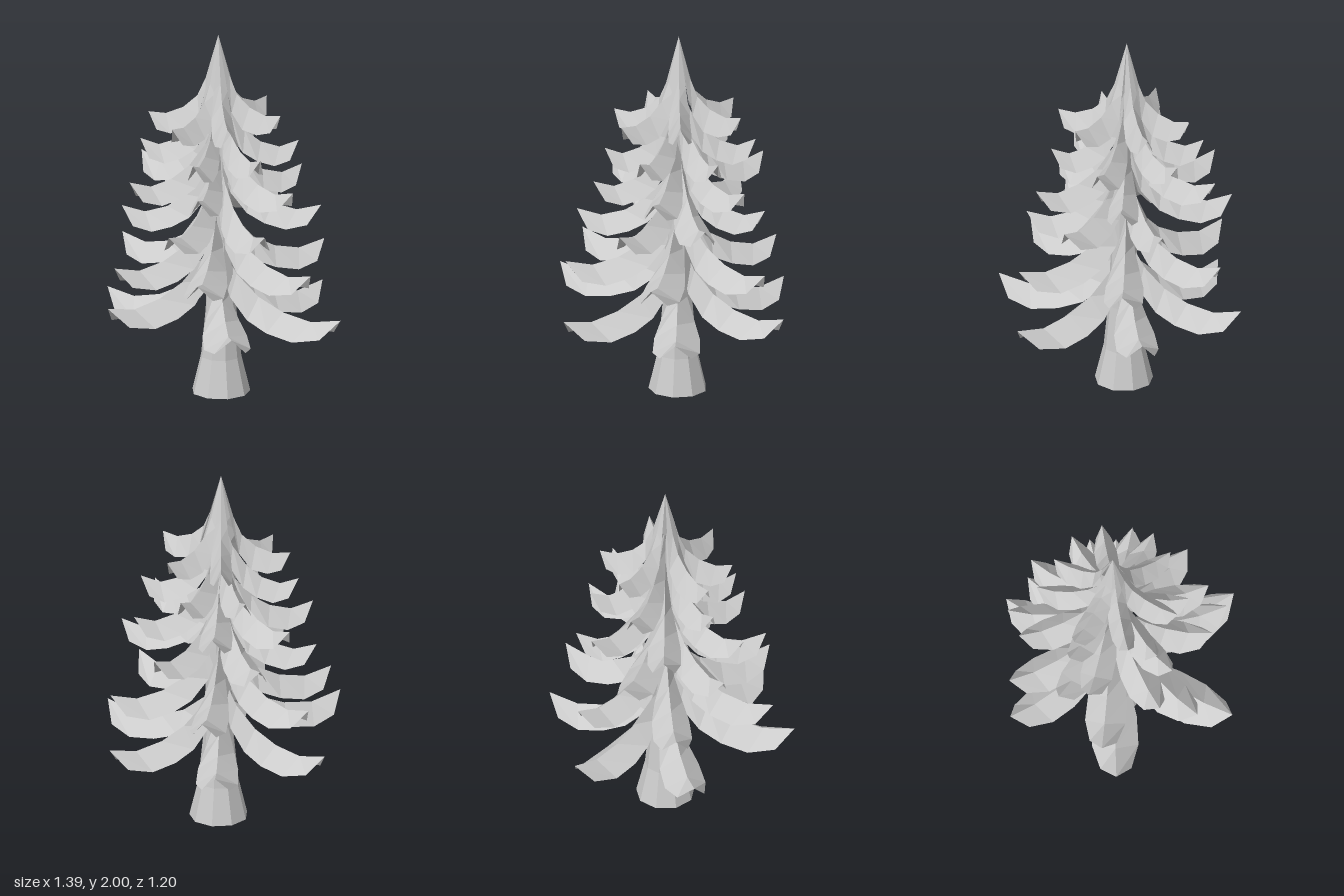
import * as THREE from 'three';

const material = new THREE.MeshStandardMaterial({ color: 0xcccccc, flatShading: true, side: THREE.DoubleSide });
const AXIS = { x: -0.045, z: -0.037 };

// Stations along a bough: [ridge reach, ridge rise, edge reach, edge rise, half width]
// reaches and half width are fractions of the bough length, rises are heights above the tip
const BOUGH = [
  [0.02, 0.32, 0.02, 0.22, 0.02],
  [0.15, 0.17, 0.13, 0.05, 0.065],
  [0.33, 0.06, 0.3, -0.05, 0.125],
  [0.53, -0.005, 0.48, -0.095, 0.165],
  [0.76, -0.035, 0.69, -0.122, 0.172],
  [1, 0, 0.885, -0.1, 0.115],
];
// The crown boughs rise to a shared point
const CROWN = [
  [0, 0.42, 0, 0.42, 0],
  [0.18, 0.19, 0.18, 0.14, 0.1],
  [0.3, 0.09, 0.28, 0, 0.145],
  [0.5, 0.025, 0.46, -0.085, 0.17],
  [0.75, -0.01, 0.69, -0.105, 0.17],
  [1, 0, 0.885, -0.09, 0.115],
];

// Bough tips of each tier: [x, y, z]
const TIERS = [
  [[0.695, 0.5, -0.02], [0.34, 0.51, 0.58], [-0.39, 0.59, 0.6], [-0.695, 0.5, -0.01], [-0.38, 0.51, -0.6], [0.3, 0.51, -0.6]],
  [[0.58, 0.77, 0.11], [0.13, 0.78, 0.57], [-0.41, 0.78, 0.48], [-0.65, 0.79, -0.1], [-0.27, 0.79, -0.56], [0.36, 0.78, -0.5]],
  [[0.5, 1.08, -0.18], [0.39, 1.01, 0.28], [-0.07, 1.01, 0.51], [-0.51, 1.04, 0.19], [-0.51, 1.08, -0.36], [0.08, 1.05, -0.5]],
  [[0.47, 1.22, 0.1], [0.06, 1.21, 0.42], [-0.4, 1.22, 0.32], [-0.56, 1.25, -0.15], [-0.29, 1.26, -0.49], [0.28, 1.22, -0.39]],
  [[0.33, 1.4, -0.25], [0.31, 1.4, 0.17], [0.0, 1.38, 0.36], [-0.42, 1.42, 0.15], [-0.37, 1.42, -0.29], [-0.06, 1.41, -0.45]],
  [[0.32, 1.59, -0.05], [0.18, 1.56, 0.27], [-0.15, 1.55, 0.31], [-0.38, 1.57, 0.13], [-0.24, 1.58, -0.33], [0.08, 1.58, -0.37]],
];

// Thin folded leaf: a ridge on top with swept-back hanging edges, open underneath
function boughGeometry(stations, length, tipY, apexY) {
  const pos = [], index = [];
  stations.forEach(([reach, rise, edgeReach, edgeRise, half], i) => {
    const atApex = i === 0 && apexY;
    const x = reach * length, y = atApex ? apexY : tipY + rise;
    const ex = edgeReach * length, ey = atApex ? apexY : tipY + edgeRise;
    const w = half * length;
    pos.push(ex, ey, -w, x, y, 0, ex, ey, w);
    if (i === 0) return;
    for (let j = 0; j < 2; j++) {
      const a = (i - 1) * 3 + j, b = i * 3 + j;
      index.push(a, a + 1, b + 1, a, b + 1, b);
    }
  });
  const geo = new THREE.BufferGeometry();
  geo.setAttribute('position', new THREE.Float32BufferAttribute(pos, 3));
  geo.setIndex(index);
  const flat = geo.toNonIndexed();
  flat.computeVertexNormals();
  return flat;
}

export function createModel() {
  const tree = new THREE.Group();
  tree.name = 'coniferTree';

  // Trunk, open at the flared foot and hidden by the boughs higher up
  const profile = [[0.158, 0], [0.11, 0.2], [0.085, 0.45], [0.06, 1], [0.02, 1.6]];
  const trunk = new THREE.Mesh(
    new THREE.LatheGeometry(profile.map(([r, y]) => new THREE.Vector2(r, y)), 9), material);
  trunk.name = 'trunk';
  trunk.position.set(-0.028, 0, -0.033);
  tree.add(trunk);

  // Tiers of boughs around the axis
  TIERS.forEach((tips, t) => {
    const tier = new THREE.Group();
    const crown = t === TIERS.length - 1;
    tier.name = crown ? 'crown' : `boughTier${t + 1}`;
    tier.position.set(AXIS.x, 0, AXIS.z);
    for (const [x, y, z] of tips) {
      const dx = x - AXIS.x, dz = z - AXIS.z;
      const geo = boughGeometry(crown ? CROWN : BOUGH, Math.hypot(dx, dz), y, crown ? 2 : 0);
      const bough = new THREE.Mesh(geo, material);
      bough.name = 'bough';
      bough.rotation.y = -Math.atan2(dz, dx);
      tier.add(bough);
    }
    tree.add(tier);
  });
  return tree;
}
